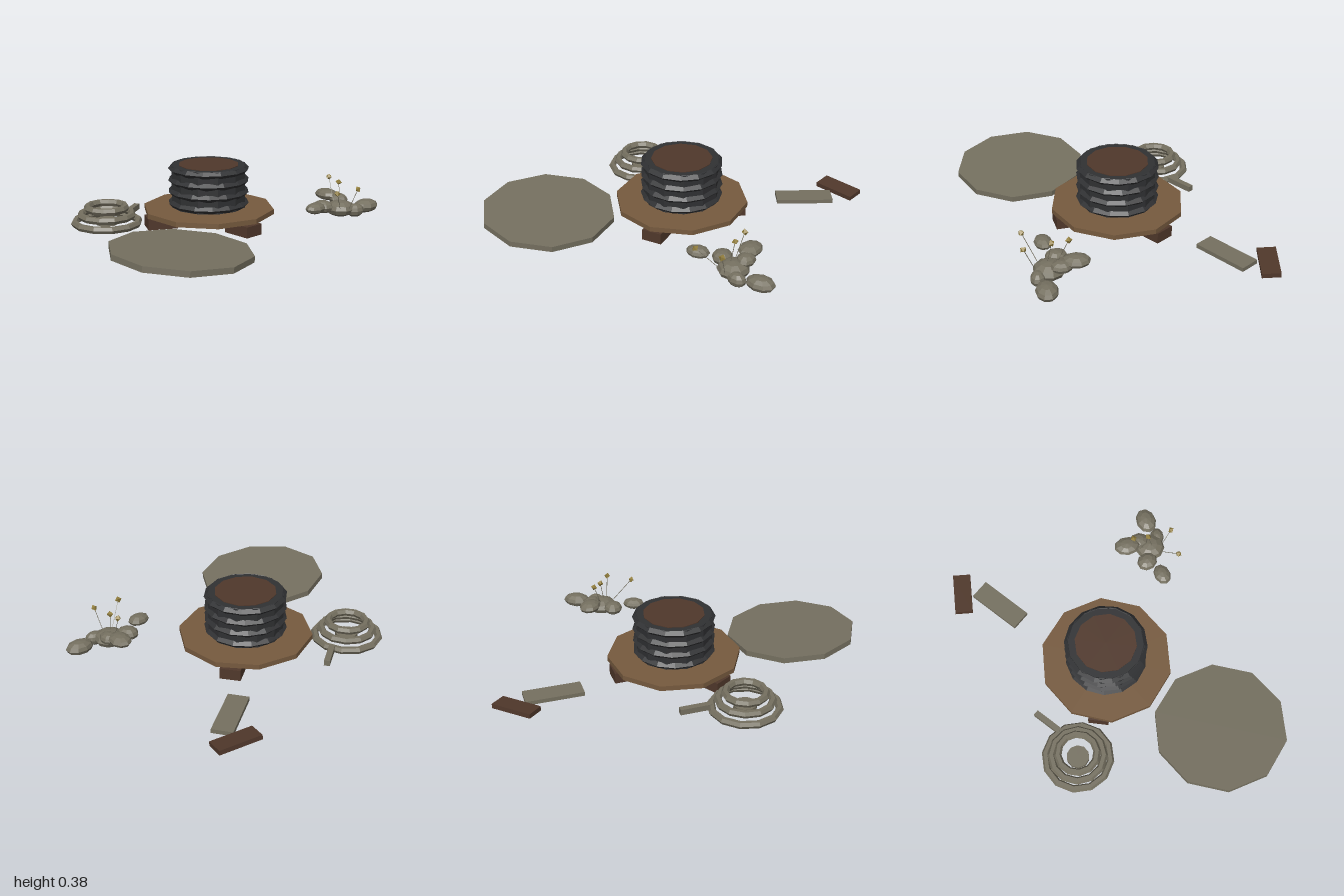
import * as THREE from 'three';

const mat = (name, color) => {
  const m = new THREE.MeshStandardMaterial({ color, flatShading: true });
  m.name = name;
  return m;
};

export function createModel() {
  const root = new THREE.Group();
  const wood = mat('warm wood', 0x765a3e);
  const darkWood = mat('dark wood', 0x50382b);
  const stone = mat('olive stone', 0x757060);
  const rubber = mat('black rubber', 0x303133);
  const gold = mat('dull gold', 0x94803f);

  const add = (parent, name, geo, material, pos, rot = [0, 0, 0], scale = [1, 1, 1]) => {
    const m = new THREE.Mesh(geo, material);
    m.name = name;
    m.position.set(...pos);
    m.rotation.set(...rot);
    m.scale.set(...scale);
    parent.add(m);
    return m;
  };
  const group = (name, x, z) => {
    const g = new THREE.Group();
    g.name = name;
    g.position.set(x, 0, z);
    root.add(g);
    return g;
  };

  // Round table top on three radial blocks
  const table = group('table', 0.064, -0.066);
  add(table, 'tableTop', new THREE.CylinderGeometry(0.41, 0.41, 0.031, 10), wood, [0, 0.1, 0]);
  for (let i = 0; i < 3; i++) {
    const a = (i * Math.PI * 2) / 3;
    add(table, 'supportBlock', new THREE.BoxGeometry(0.125, 0.068, 0.185), darkWood,
      [Math.sin(a) * 0.303, 0.038, Math.cos(a) * 0.303], [0, a, 0]);
  }

  // Ribbed rubber drum with a filled top
  const drum = group('drum', 0.064, -0.066);
  add(drum, 'drumBody', new THREE.CylinderGeometry(0.234, 0.234, 0.259, 12), rubber, [0, 0.2545, 0]);
  for (let i = 0; i < 4; i++) {
    const rib = new THREE.TorusGeometry(0.23, 0.022, 4, 14);
    rib.rotateX(Math.PI / 2);
    add(drum, 'drumRib', rib, rubber, [0, 0.148 + i * 0.072, 0], [0, i * 0.37, 0]);
  }
  add(drum, 'drumFill', new THREE.CylinderGeometry(0.188, 0.188, 0.02, 12), darkWood, [0, 0.378, 0]);

  // Loose lid, slightly tilted
  add(root, 'looseLid', new THREE.CylinderGeometry(0.41, 0.41, 0.035, 10), stone,
    [-0.608, 0.076, 0.409], [0.022, 0, -0.058]);

  // Coil of stacked rings with a hub and a loose end
  const coil = group('coil', -0.432, -0.462);
  [0.2, 0.16, 0.119].forEach((r, i) => {
    const ring = new THREE.TorusGeometry(r, 0.023, 6, 12);
    ring.rotateX(Math.PI / 2);
    add(coil, 'coilRing', ring, stone, [0, 0.033 + i * 0.046, 0], [0, i * 0.12, 0]);
  });
  add(coil, 'coilHub', new THREE.CylinderGeometry(0.07, 0.07, 0.03, 10), stone, [0, 0.035, 0]);
  add(coil, 'coilEnd', new THREE.BoxGeometry(0.19, 0.035, 0.036), stone, [0.275, 0.04, -0.088], [0, 0.51, 0]);

  // Scattered planks
  add(root, 'greyPlank', new THREE.BoxGeometry(0.35, 0.025, 0.125), stone, [0.693, 0.038, -0.543], [0, 0.5, 0]);
  add(root, 'brownPlank', new THREE.BoxGeometry(0.262, 0.028, 0.11), darkWood, [0.854, 0.048, -0.738], [0.08, -0.285, 0]);

  // Pile of flattened rocks: centre, then radii, then turn
  const pile = group('rockPile', 0, 0);
  const rock = new THREE.SphereGeometry(1, 9, 6);
  [
    [[0.445, 0.137, 0.482], [0.071, 0.034, 0.053], 0],
    [[0.858, 0.092, 0.55], [0.088, 0.042, 0.065], -0.1],
    [[0.708, 0.157, 0.35], [0.065, 0.035, 0.083], -0.2],
    [[0.575, 0.115, 0.435], [0.06, 0.04, 0.068], 0.3],
    [[0.67, 0.1, 0.495], [0.095, 0.05, 0.095], 0.4],
    [[0.72, 0.14, 0.435], [0.055, 0.036, 0.065], 0],
    [[0.725, 0.09, 0.57], [0.06, 0.042, 0.045], -0.3],
  ].forEach(([p, s, turn]) => add(pile, 'rock', rock, stone, p, [0, turn, 0], s));

  // Small buds on thin stems: bud position, then stem foot
  const up = new THREE.Vector3(0, 1, 0);
  [
    [[0.685, 0.28, 0.385], [0.66, 0.13, 0.45]],
    [[0.668, 0.265, 0.478], [0.655, 0.13, 0.505]],
    [[0.49, 0.245, 0.612], [0.6, 0.12, 0.55]],
    [[0.662, 0.247, 0.635], [0.655, 0.11, 0.575]],
  ].forEach(([bud, foot], i) => {
    add(pile, 'bud', new THREE.OctahedronGeometry(0.021), gold, bud, [0.2 * i, 0.5 * i, 0.25]);
    const a = new THREE.Vector3(...foot), b = new THREE.Vector3(...bud);
    const d = b.clone().sub(a);
    const stem = add(pile, 'stem', new THREE.CylinderGeometry(0.002, 0.002, d.length(), 4), stone,
      a.clone().add(b).multiplyScalar(0.5).toArray());
    stem.quaternion.setFromUnitVectors(up, d.normalize());
  });

  return root;
}
